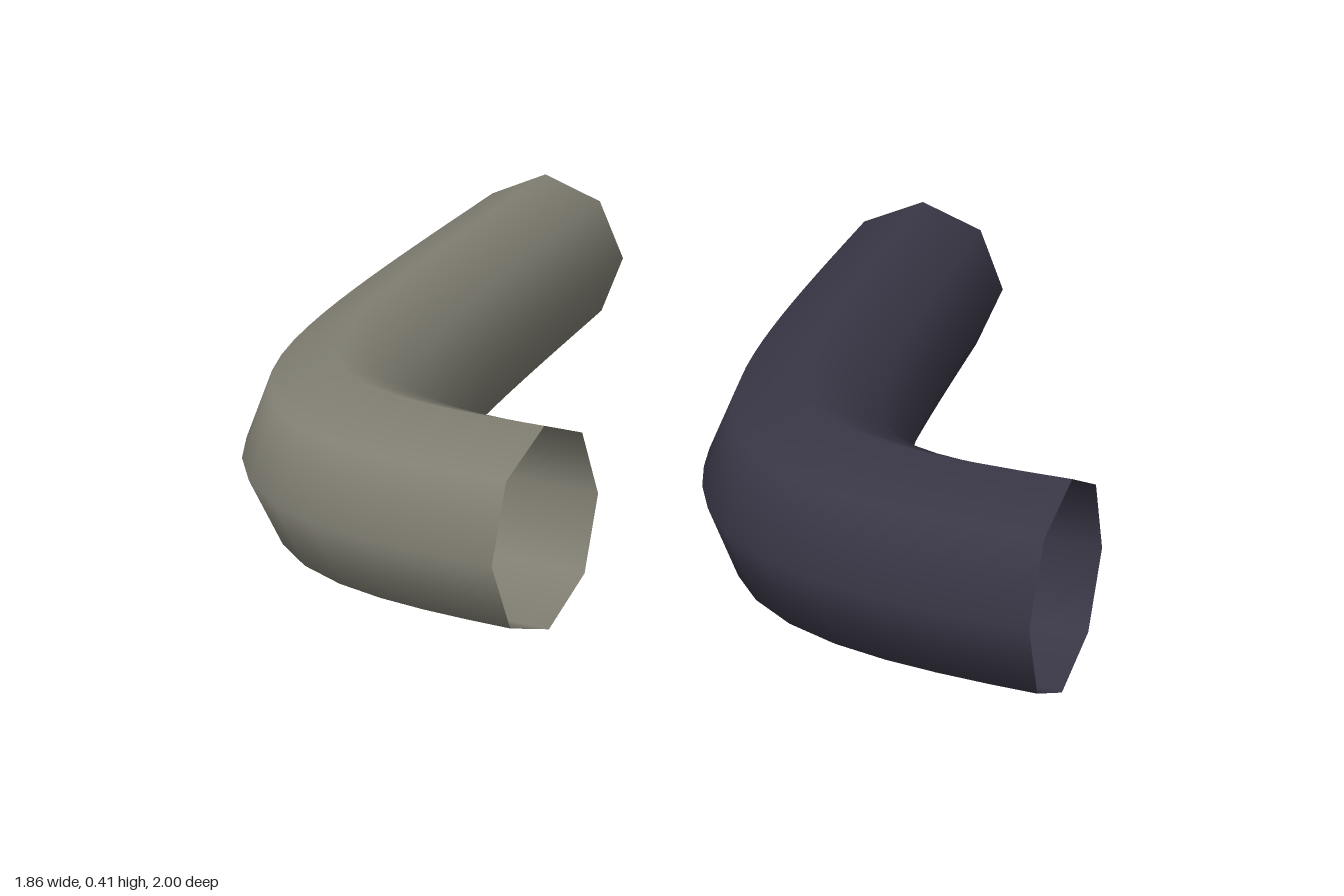
import * as THREE from 'three';

export function createModel() {
  const group = new THREE.Group();
  const paleGrey = new THREE.MeshStandardMaterial({ color: 0x807e72, side: THREE.DoubleSide });
  paleGrey.name = 'warm grey';
  const darkGrey = new THREE.MeshStandardMaterial({ color: 0x393746, side: THREE.DoubleSide });
  darkGrey.name = 'dark slate';

  // Centre line: a long straight run, then a bend towards +x
  const radius = 0.205;
  const path = new THREE.CubicBezierCurve3(
    new THREE.Vector3(-0.325, 0, -1),
    new THREE.Vector3(-0.325, 0, 0.57),
    new THREE.Vector3(-0.317, 0, 0.695),
    new THREE.Vector3(0.323, 0, 0.798)
  );
  // Open eight-sided pipe
  const pipe = new THREE.TubeGeometry(path, 24, radius, 8, false);

  // Two identical pipes side by side
  const pipes = [
    ['rightPipe', -0.405, paleGrey],
    ['leftPipe', 0.573, darkGrey],
  ];
  for (const [name, x, material] of pipes) {
    const mesh = new THREE.Mesh(pipe, material);
    mesh.name = name;
    mesh.position.set(x, radius, 0);
    group.add(mesh);
  }
  return group;
}
